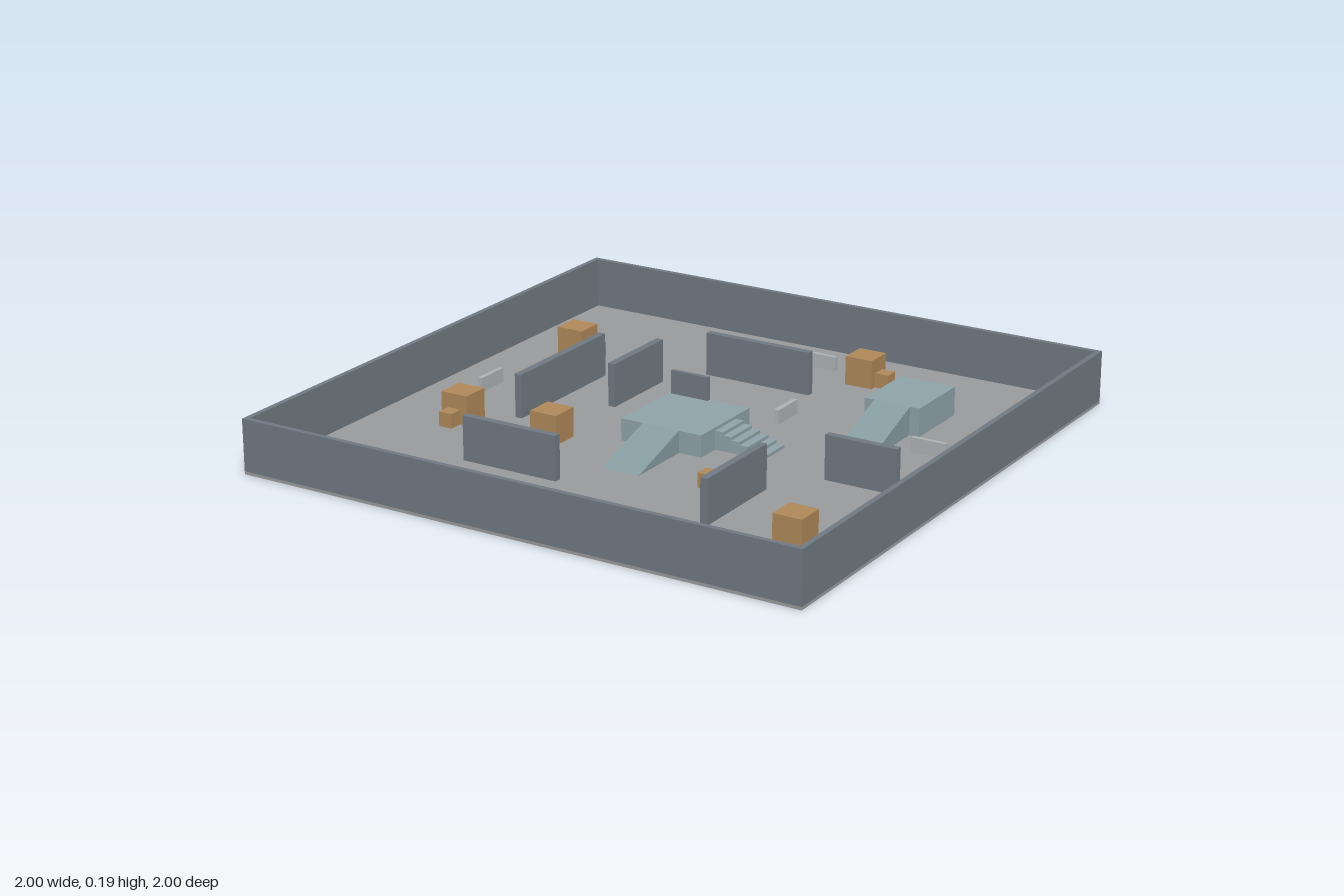
import * as THREE from 'three';

const FLOOR = 0.01;
const mat = (color) => new THREE.MeshStandardMaterial({ color, flatShading: true });

export function createModel() {
  const root = new THREE.Group();
  const floorMat = mat(0x9a9c9e), wallMat = mat(0x717a83), coverMat = mat(0xb0b4b7);
  const platformMat = mat(0x90a4aa), rampMat = mat(0x879da2), crateMat = mat(0xb08a5a);

  // Box given by its x, y and z ranges
  function box(name, material, x0, x1, y0, y1, z0, z1) {
    const m = new THREE.Mesh(new THREE.BoxGeometry(x1 - x0, y1 - y0, z1 - z0), material);
    m.position.set((x0 + x1) / 2, (y0 + y1) / 2, (z0 + z1) / 2);
    m.name = name;
    root.add(m);
  }

  // Wedge that slopes down towards +z
  function ramp(x0, x1, z0, z1, top) {
    const side = new THREE.Shape();
    side.moveTo(-z0, FLOOR);
    side.lineTo(-z0, top);
    side.lineTo(-z1, FLOOR);
    side.closePath();
    const g = new THREE.ExtrudeGeometry(side, { depth: x1 - x0, bevelEnabled: false });
    g.rotateY(Math.PI / 2);
    const m = new THREE.Mesh(g, rampMat);
    m.position.x = x0;
    m.name = 'ramp';
    root.add(m);
  }

  // Floor slab and surrounding walls
  const H = 0.185, T = 0.018;
  box('floor', floorMat, -1, 1, 0, FLOOR, -1, 1);
  box('backWall', wallMat, -1, 1, FLOOR, H, -1, -1 + T);
  box('frontWall', wallMat, -1, 1, FLOOR, H, 1 - T, 1);
  box('rightWall', wallMat, -1, -1 + T, FLOOR, H, -1 + T, 1 - T);
  box('leftWall', wallMat, 1 - T, 1, FLOOR, H, -1 + T, 1 - T);

  // Tall inner walls: x range, z range
  [
    [-0.25, 0.15, -0.5625, -0.5375],
    [-0.5625, -0.5375, -0.35, 0.15],
    [-0.3625, -0.3375, -0.4, -0.1],
    [-0.475, -0.125, 0.5375, 0.5625],
    [0.4375, 0.4625, 0.275, 0.625],
    [0.575, 0.825, 0.0875, 0.1125],
  ].forEach(([x0, x1, z0, z1]) => box('innerWall', wallMat, x0, x1, FLOOR, 0.16, z0, z1));

  // Low cover walls
  [
    [-0.0175, 0.1075, -0.8125, -0.7975],
    [0.19, 0.2075, -0.3625, -0.2375],
    [0.6875, 0.8125, -0.26, -0.245],
    [-0.81, -0.795, -0.1125, 0.0125],
    [-0.2125, -0.0875, 0.74, 0.755],
  ].forEach(([x0, x1, z0, z1]) => box('lowCover', coverMat, x0, x1, FLOOR, 0.06, z0, z1));

  // Central platform with parapet, ramp and stairs
  const top = 0.085;
  box('centralPlatform', platformMat, -0.15, 0.15, FLOOR, top, -0.15, 0.15);
  box('parapet', wallMat, -0.14, 0, top, 0.165, -0.15, -0.135);
  ramp(-0.068, 0.068, 0.15, 0.39, top);
  for (let i = 0; i < 6; i++) {
    const x = 0.15 + i * 0.03;
    const y = FLOOR + (top - FLOOR) * (6 - i) / 7;
    box('step', platformMat, x, x + 0.03, FLOOR, y, -0.065, 0.065);
  }

  // Side platform with ramp
  box('sidePlatform', platformMat, 0.45, 0.65, FLOOR, 0.108, -0.625, -0.375);
  ramp(0.485, 0.615, -0.375, -0.105, 0.108);

  // Crates: centre x, centre z, size
  [
    [0.25, -0.75, 0.1], [0.325, -0.75, 0.05],
    [-0.75, -0.5, 0.1], [-0.675, -0.5, 0.05],
    [-0.7, 0.25, 0.1], [-0.7, 0.325, 0.05],
    [-0.35, 0.25, 0.1], [0.3, 0.35, 0.05], [0.75, 0.6, 0.1],
  ].forEach(([x, z, s]) =>
    box('crate', crateMat, x - s / 2, x + s / 2, FLOOR, FLOOR + s, z - s / 2, z + s / 2));

  return root;
}
